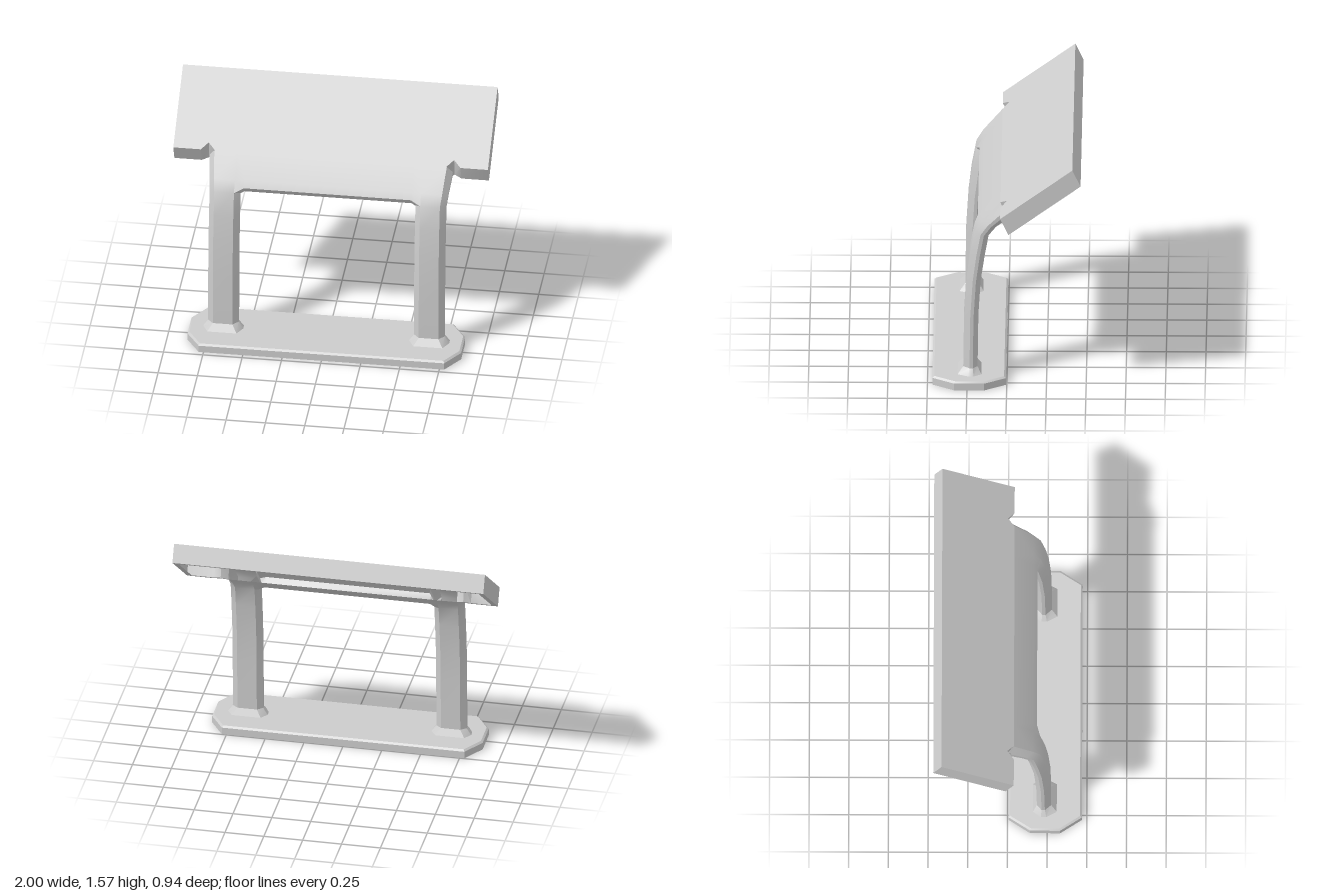
import * as THREE from 'three';
import { toCreasedNormals } from 'three/addons/utils/BufferGeometryUtils.js';

const material = new THREE.MeshStandardMaterial({ color: 0xcccccc, side: THREE.DoubleSide });

function addMesh(parent, name, geometry) {
  const mesh = new THREE.Mesh(toCreasedNormals(geometry.toNonIndexed(), 0.5), material);
  mesh.name = name;
  parent.add(mesh);
}

// Skin a list of cross-sections, each an array of [x, y, z], closed or open
function loft(rings, closed = true) {
  const n = rings[0].length;
  const index = [];
  for (let i = 0; i < rings.length - 1; i++) {
    for (let j = 0; j < (closed ? n : n - 1); j++) {
      const k = (j + 1) % n;
      const a = i * n + j, b = i * n + k, c = a + n, d = b + n;
      index.push(a, b, d, a, d, c);
    }
  }
  const g = new THREE.BufferGeometry();
  g.setAttribute('position', new THREE.Float32BufferAttribute(rings.flat(2), 3));
  g.setIndex(index);
  return g;
}

// Flat face from a 2D outline with holes, moved into place by a rule (x, v) => [x, y, z]
function face(outline, holes, place) {
  const points = (list) => list.map(([x, v]) => new THREE.Vector2(x, v));
  const shape = new THREE.Shape(points(outline));
  for (const hole of holes) shape.holes.push(new THREE.Path(points(hole)));
  const g = new THREE.ShapeGeometry(shape);
  const p = g.attributes.position;
  for (let i = 0; i < p.count; i++) p.setXYZ(i, ...place(p.getX(i), p.getY(i)));
  return g;
}

// Leg stations: front z, y, back z, y, outward flare, collar growth
const STATIONS = [
  [0.31, 0.057, 0.16, 0.057, 0, 0.03],
  [0.275, 0.1, 0.185, 0.1, 0, 0],
  [0.27, 0.45, 0.18, 0.45, 0, 0],
  [0.255, 0.7, 0.165, 0.69, 0, 0],
  [0.235, 0.87, 0.14, 0.86, 0, 0],
  [0.205, 1.03, 0.115, 1.0, 0, 0],
  [0.16, 1.1, 0.07, 1.06, 0.008, 0],
  [0.04, 1.235, -0.01, 1.125, 0.022, 0],
];

// Eight-sided leg section, mirrored for side = -1
function legRing([fz, fy, bz, by, flare, grow], side) {
  const inner = 0.557 - grow, outer = 0.752 + flare + grow, c = 0.035;
  const ring = [
    [outer, 0.56], [outer, 0.33], [outer - c, 0], [inner + c, 0],
    [inner, 0.33], [inner, 0.56], [inner + c, 1], [outer - c, 1],
  ].map(([x, t]) => [side * x, by + (fy - by) * t, bz + (fz - bz) * t]);
  return side > 0 ? ring : ring.reverse();
}

// Base plate outline at height y, pulled in by an inset
function baseRing(y, inset) {
  const X = 0.87 - inset, x = 0.78 - inset * 0.5, Z = 0.232 - inset, z = 0.095 - inset * 0.5;
  return [[X, z], [X, -z], [x, -Z], [-x, -Z], [-X, -z], [-X, z], [-x, Z], [x, Z]]
    .map(([px, pz]) => [px, y, pz + 0.237]);
}

// Panel coordinates: u runs from front to back edge, d from top to underside
const onPanel = (d) => (x, u) => [x, 1.235 + 0.335 * u - 0.11 * d, 0.04 - 0.455 * u - 0.052 * d];
const panelRing = (outline, d) => outline.map(([x, u]) => onPanel(d)(x, u));
const mirrored = (half) => [...half, ...half.map(([x, u]) => [-x, u]).reverse()];

export function createModel() {
  const model = new THREE.Group();
  model.name = 'slopedPanelStand';

  // Base shell, open below, with a top chamfer and openings into the hollow legs
  const base = new THREE.Group();
  base.name = 'base';
  model.add(base);
  const flat = (ring) => ring.map(([x, , z]) => [x, -z]);
  const openings = [1, -1].map((side) => flat(legRing(STATIONS[0], side)));
  addMesh(base, 'baseEdge', loft([baseRing(0, 0), baseRing(0.046, 0), baseRing(0.057, 0.012)]));
  addMesh(base, 'baseTop', face(flat(baseRing(0.057, 0.012)), openings, (x, v) => [x, 0.057, -v]));

  // Curved legs with flared collars
  for (const side of [1, -1]) {
    addMesh(model, side > 0 ? 'leftLeg' : 'rightLeg', loft(STATIONS.map((s) => legRing(s, side))));
  }

  // Hollow web joining the legs, dropping into small corner gussets at its ends
  const front = [[0.04, 1.235], [0.16, 1.1]];
  const back = [[0.07, 1.06], [-0.01, 1.125]];
  const middleLip = [[0.185, 1.06], [0.155, 1.02], [0.13, 1.015], [0.095, 1.04]];
  const endLip = [[0.205, 1.03], [0.165, 0.985], [0.14, 0.98], [0.115, 1.0]];
  const webSection = (x, lip) => [...front, ...lip, ...back].map(([z, y]) => [x, y, z]);
  addMesh(model, 'web', loft([
    webSection(-0.592, endLip), webSection(-0.53, middleLip),
    webSection(0.53, middleLip), webSection(0.592, endLip),
  ], false));

  // Sloping panel shell, notched beside the legs and open to the web between them
  const panel = new THREE.Group();
  panel.name = 'panel';
  model.add(panel);
  const outline = (tip) => mirrored([[0.735, 0], [0.78, tip], [0.825, 0], [1, 0], [1, 1]]);
  addMesh(panel, 'panelTop', face(outline(0.09), [], onPanel(0)));
  addMesh(panel, 'panelEdge', loft([panelRing(outline(0.04), 1), panelRing(outline(0.09), 0)], false));

  // Narrow rim folded in around the open underside
  const opening = mirrored([[0.72, 0.01], [0.78, 0.09], [0.835, 0.06], [0.965, 0.06], [0.965, 0.945]]);
  const rim = face(outline(0.04), [opening], onPanel(1));
  rim.index.array.reverse();
  addMesh(panel, 'panelRim', rim);

  return model;
}
